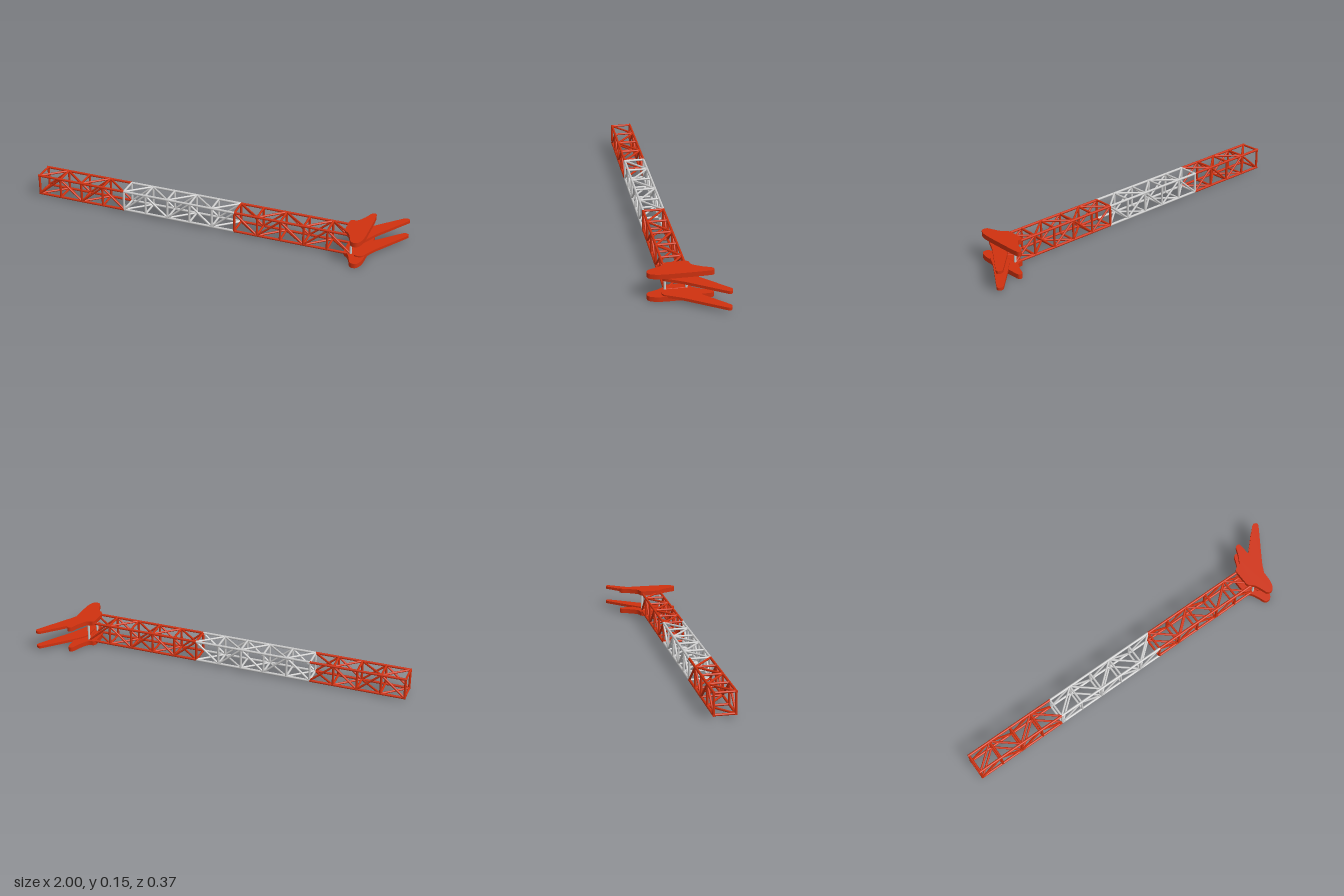
import * as THREE from 'three';

const red = new THREE.MeshStandardMaterial({ color: 0xd0310f });
const grey = new THREE.MeshStandardMaterial({ color: 0xcccccc });

const START = -0.994, STEP = 0.1255, PANELS = 14;
const BOTTOM = 0.021, TOP = 0.129, BACK = -0.0115, FRONT = 0.094;

// Round bar between two points
function bar(name, a, b, radius, material) {
  const from = new THREE.Vector3(...a), to = new THREE.Vector3(...b);
  const dir = to.clone().sub(from);
  const mesh = new THREE.Mesh(new THREE.CylinderGeometry(radius, radius, dir.length(), 12), material);
  mesh.position.copy(from).add(to).multiplyScalar(0.5);
  mesh.quaternion.setFromUnitVectors(new THREE.Vector3(0, 1, 0), dir.normalize());
  mesh.name = name;
  return mesh;
}

// Horizontal plate from an outline of [x, z] corners, each corner rounded
function plate(name, corners, y, height) {
  const pts = corners.map(([x, z]) => new THREE.Vector2(x, -z));
  const shape = new THREE.Shape();
  pts.forEach((p, i) => {
    const prev = pts[(i + pts.length - 1) % pts.length], next = pts[(i + 1) % pts.length];
    const cut = q => p.clone().lerp(q, Math.min(0.45, 0.02 / p.distanceTo(q)));
    const a = cut(prev), b = cut(next);
    if (i === 0) shape.moveTo(a.x, a.y); else shape.lineTo(a.x, a.y);
    shape.quadraticCurveTo(p.x, p.y, b.x, b.y);
  });
  shape.closePath();
  const geo = new THREE.ExtrudeGeometry(shape, { depth: height, bevelEnabled: false, curveSegments: 6 });
  geo.rotateX(-Math.PI / 2);
  const mesh = new THREE.Mesh(geo, red);
  mesh.position.y = y;
  mesh.name = name;
  return mesh;
}

export function createModel() {
  const model = new THREE.Group();
  model.name = 'trussArmWithClaw';
  const nodeX = i => START + i * STEP;

  // Truss in three colour sections: red, grey, red
  const sections = [
    ['outerTruss', 0, 4, red], ['middleTruss', 4, 9, grey], ['innerTruss', 9, PANELS, red],
  ];
  for (const [name, first, last, material] of sections) {
    const section = new THREE.Group();
    section.name = name;
    const x0 = nodeX(first) - (first === 0 ? 0.006 : 0), x1 = nodeX(last);

    // Four long chords
    for (const y of [BOTTOM, TOP]) for (const z of [BACK, FRONT])
      section.add(bar('chord', [x0, y, z], [x1, y, z], 0.0065, material));

    // Square frames at the nodes
    for (let i = first === 0 ? 0 : first + (material === grey ? 0 : 1); i <= last; i++) {
      if (i === last && material === red && first === 0) continue;
      if (i === last && material === grey) continue;
      const x = nodeX(i), postMaterial = i === PANELS ? grey : material;
      for (const z of [BACK, FRONT])
        section.add(bar('post', [x, BOTTOM, z], [x, TOP, z], 0.0062, postMaterial));
      for (const y of [BOTTOM, TOP])
        section.add(bar('crossBar', [x, y, BACK], [x, y, FRONT], 0.0058, material));
    }
    if (first === 9) {
      const x = nodeX(9);
      for (const z of [BACK, FRONT])
        section.add(bar('post', [x, BOTTOM, z], [x, TOP, z], 0.0062, red));
      for (const y of [BOTTOM, TOP])
        section.add(bar('crossBar', [x, y, BACK], [x, y, FRONT], 0.0058, red));
    }

    // Zigzag diagonals on all four sides
    for (let i = first; i < last; i++) {
      const a = nodeX(i), b = nodeX(i + 1), even = i % 2 === 0;
      const [ya, yb] = even ? [BOTTOM, TOP] : [TOP, BOTTOM];
      const [za, zb] = even ? [FRONT, BACK] : [BACK, FRONT];
      for (const z of [BACK, FRONT])
        section.add(bar('diagonal', [a, ya, z], [b, yb, z], 0.0055, material));
      for (const y of [BOTTOM, TOP])
        section.add(bar('diagonal', [a, y, za], [b, y, zb], 0.0055, material));
    }
    model.add(section);
  }

  // Claw: fixed jaw plates outside, swinging jaw plates inside
  const fixedJaw = [
    [0.722, -0.026], [0.722, 0.086], [0.75, 0.105], [0.768, 0.145], [0.782, 0.187], [0.818, 0.187],
    [0.835, 0.145], [0.838, 0.09], [0.838, -0.05], [0.835, -0.132], [0.809, -0.132], [0.79, -0.08], [0.76, -0.03],
  ];
  const swingingJaw = [
    [0.782, 0.04], [0.782, 0.118], [0.825, 0.118], [0.87, 0.028],
    [1.003, -0.176], [0.976, -0.192], [0.845, -0.06], [0.79, 0.0],
  ];
  const claw = new THREE.Group();
  claw.name = 'claw';
  claw.add(
    plate('lowerFixedJaw', fixedJaw, 0, 0.025),
    plate('upperFixedJaw', fixedJaw, 0.122, 0.025),
    plate('lowerSwingingJaw', swingingJaw, 0.018, 0.0145),
    plate('upperSwingingJaw', swingingJaw, 0.1065, 0.0145),
  );
  model.add(claw);
  return model;
}
